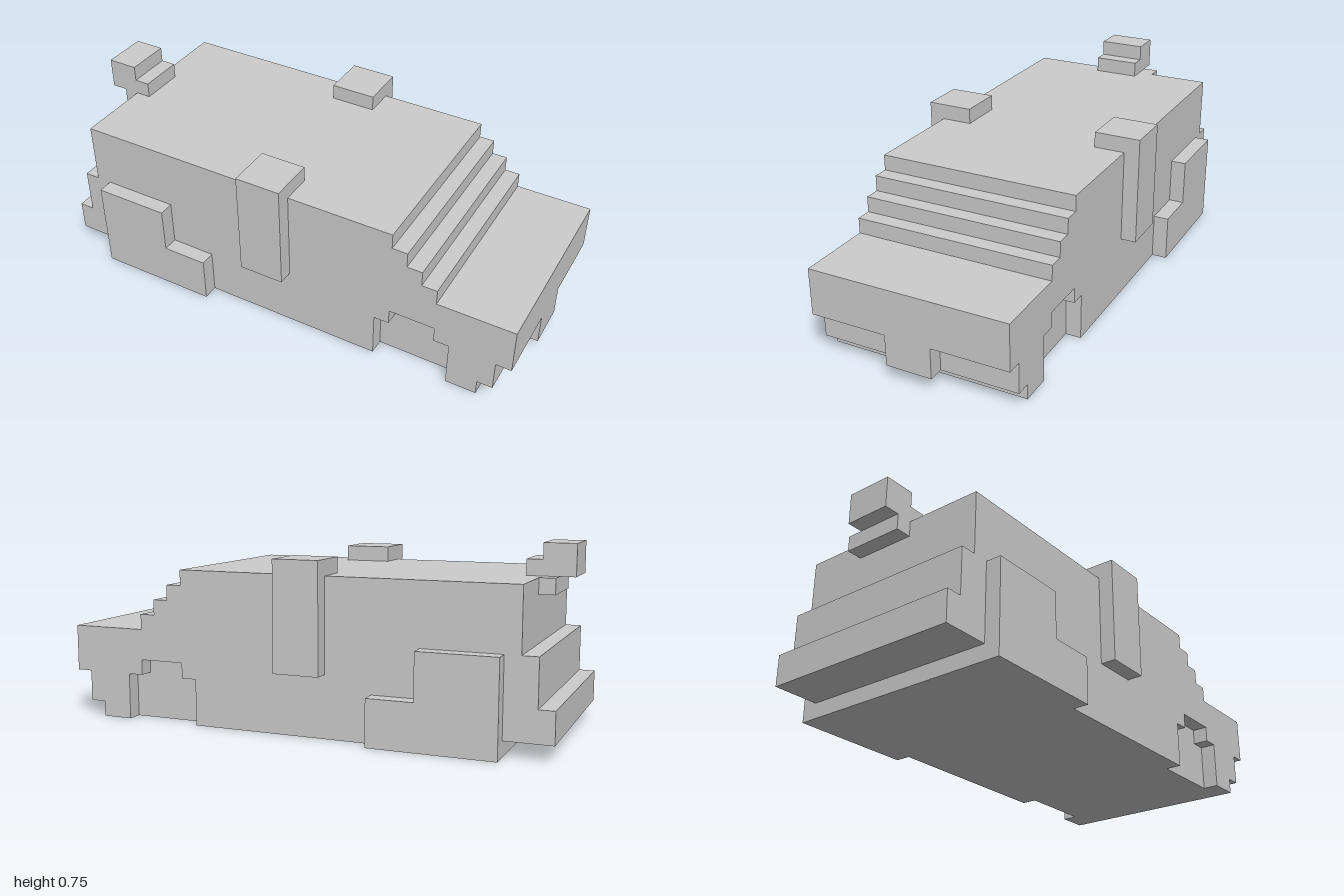
import * as THREE from 'three';

const U = 1 / 16; // one block of the grid
const material = new THREE.MeshStandardMaterial({ color: 0xcccccc, flatShading: true });

// Side profile in (x, y) blocks, extruded from z0 to z1
function slab(name, points, z0, z1) {
  const shape = new THREE.Shape(points.map(([x, y]) => new THREE.Vector2(x * U, y * U)));
  const geometry = new THREE.ExtrudeGeometry(shape, { depth: (z1 - z0) * U, bevelEnabled: false });
  geometry.translate(0, 0, z0 * U);
  const mesh = new THREE.Mesh(geometry, material);
  mesh.name = name;
  return mesh;
}

// Box given by its corner limits in blocks
function block(name, x0, x1, y0, y1, z0, z1) {
  const geometry = new THREE.BoxGeometry((x1 - x0) * U, (y1 - y0) * U, (z1 - z0) * U);
  geometry.translate((x0 + x1) / 2 * U, (y0 + y1) / 2 * U, (z0 + z1) / 2 * U);
  const mesh = new THREE.Mesh(geometry, material);
  mesh.name = name;
  return mesh;
}

export function createModel() {
  const model = new THREE.Group();
  model.name = 'blockVehicle';

  // Outline from the nose over the stepped windscreen and roof to the stepped tail
  const upper = [
    [14, 0], [14, 1], [15, 1], [15, 3], [16, 3], [16, 6], [11, 6], [11, 7], [10, 7], [10, 8],
    [9, 8], [9, 9], [8, 9], [8, 10], [-14, 10], [-14, 6], [-15, 6], [-15, 3], [-16, 3],
    [-16, 1], [-13, 1], [-13, 0],
  ];
  // Stepped wheel arch cut into the outer layer of each side
  const arch = [[7, 0], [7, 3], [8, 3], [8, 4], [11, 4], [11, 3], [12, 3], [12, 0]];

  model.add(slab('bodyCore', upper, -5.5, 5.5));
  model.add(block('noseCentre', 15, 16, 1, 3, -1.5, 1.5));

  // Side panels, rear fenders and posts on both sides
  for (const [side, s] of [['left', 1], ['right', -1]]) {
    const span = (a, b) => (s > 0 ? [a, b] : [-b, -a]);
    model.add(slab(side + 'SidePanel', [...upper, ...arch], ...span(5.5, 6.5)));
    model.add(slab(side + 'RearFender',
      [[-13, 0], [-5, 0], [-5, 3], [-8, 3], [-8, 6], [-13, 6]], ...span(6.5, 7.5)));
    model.add(block(side + 'Post', -2, 1, 4, 10, ...span(6.5, 7.5)));
    model.add(block(side + 'PostCap', -2, 1, 10, 11, ...span(4.5, 7.5)));
  }

  // Roof-edge spoiler block with its bracket at the tail
  model.add(slab('tailBlock',
    [[-16, 10], [-13, 10], [-13, 11], [-14, 11], [-14, 12], [-16, 12]], -1.5, 1.5));
  model.add(block('tailBracket', -15, -14, 9, 10, -2.5, 1.5));

  return model;
}
